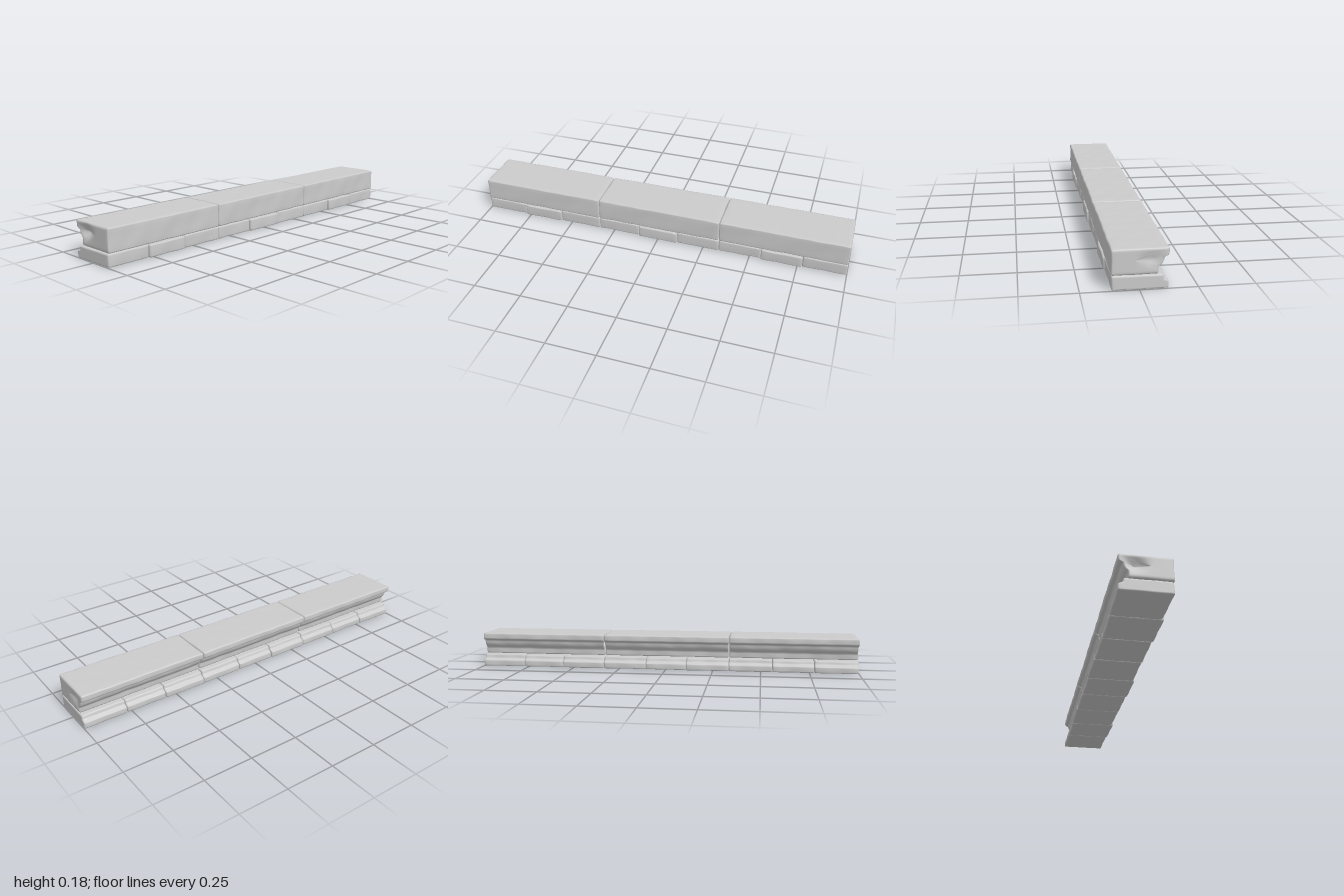
import * as THREE from 'three';

// Rounds the corners of a counter-clockwise outline and splits its long edges
function roundedOutline(corners, radius) {
  const pts = corners.map(([x, y]) => new THREE.Vector2(x, y));
  const n = pts.length;
  const out = [];
  const cuts = pts.map((p, i) => {
    const prev = pts[(i + n - 1) % n], next = pts[(i + 1) % n];
    const a = Math.min(radius, p.distanceTo(prev) * 0.4);
    const b = Math.min(radius, p.distanceTo(next) * 0.4);
    return [
      p.clone().lerp(prev, a / p.distanceTo(prev)),
      p.clone().lerp(next, b / p.distanceTo(next)),
    ];
  });
  for (let i = 0; i < n; i++) {
    const [start, end] = cuts[i];
    const mid = start.clone().add(end).multiplyScalar(0.25).addScaledVector(pts[i], 0.5);
    out.push(start, mid, end);
    const nextStart = cuts[(i + 1) % n][0];
    const steps = Math.ceil(end.distanceTo(nextStart) / 0.025);
    for (let k = 1; k < steps; k++) out.push(end.clone().lerp(nextStart, k / steps));
  }
  return out;
}

// A worn stone: rings of the outline from the front cap to the back cap
function stoneGeometry(corners, centre, zFront, zBack, seed, dent) {
  const outline = roundedOutline(corners, 0.007);
  const n = outline.length;
  const length = zFront - zBack;
  const [cx, cy] = centre;

  // each ring: distance from the front, scale about the centre, edge inset
  const cap = [[0, 0, 0.007], [0, 0.3, 0.007], [0, 0.6, 0.007], [0, 0.85, 0.007],
    [0, 1, 0.007], [0.002, 1, 0.002], [0.007, 1, 0]];
  const rings = [...cap];
  const steps = Math.round(length / 0.022);
  for (let k = 1; k < steps; k++) rings.push([0.007 + (length - 0.014) * k / steps, 1, 0]);
  for (const [d, s, inset] of [...cap].reverse()) rings.push([length - d, s, inset]);

  const positions = [], index = [];
  rings.forEach(([d, scale, inset], i) => {
    for (const p of outline) {
      let x = cx + (p.x - cx) * scale * (1 - inset / 0.12);
      let y = cy + (p.y - cy) * scale * (1 - inset / 0.045);
      let z = zFront - d;
      // gentle wear on the surface
      const wear = Math.sin(z * 31 + seed * 2.3 + y * 40) * Math.sin(z * 17 + x * 25 + seed);
      x += 0.0016 * wear * Math.sign(p.x);
      y -= 0.0012 * Math.abs(wear) * Math.sign(p.y - cy);
      // chipped hollow in the end faces
      const r2 = ((x + 0.045) / 0.035) ** 2 + ((y - 0.135) / 0.025) ** 2;
      const hollow = dent * Math.exp(-r2);
      z -= hollow * Math.exp(-d / 0.04);
      z += 0.4 * hollow * Math.exp(-(length - d) / 0.04);
      positions.push(x, y, z);
    }
    if (i === 0) return;
    for (let j = 0; j < n; j++) {
      const a = (i - 1) * n + j, b = (i - 1) * n + (j + 1) % n;
      const c = a + n, e = b + n;
      index.push(a, c, b, b, c, e);
    }
  });
  const geometry = new THREE.BufferGeometry();
  geometry.setAttribute('position', new THREE.Float32BufferAttribute(positions, 3));
  geometry.setIndex(index);
  geometry.computeVertexNormals();
  return geometry;
}

export function createModel() {
  const model = new THREE.Group();
  model.name = 'stoneCornice';
  const material = new THREE.MeshStandardMaterial({ color: 0xcccccc, roughness: 0.9 });
  const add = (geometry, name) => {
    const mesh = new THREE.Mesh(geometry, material);
    mesh.name = name;
    model.add(mesh);
  };

  // Upper course: three long blocks with a moulded -x side
  const upper = [[-0.08, 0.066], [0.119, 0.066], [0.119, 0.182], [-0.125, 0.182],
    [-0.125, 0.149], [-0.105, 0.143], [-0.102, 0.124], [-0.093, 0.108], [-0.08, 0.098]];
  const upperJoints = [1, 0.334, -0.332, -1];
  for (let i = 0; i < 3; i++) {
    add(stoneGeometry(upper, [0.02, 0.13], upperJoints[i] - 0.001, upperJoints[i + 1] + 0.001,
      i * 0.4, 0.028), `upperBlock${i + 1}`);
  }

  // Lower course: nine short stones, in a repeating set of three
  const offsets = [0, 0.225, 0.44];
  const rightEdge = [0.116, 0.124, 0.118];
  const leftEdge = [-0.126, -0.122, -0.123];
  const topEdge = [0.064, 0.063, 0.066];
  for (let i = 0; i < 9; i++) {
    const k = i % 3;
    const zFront = 1 - Math.floor(i / 3) * 0.6667 - offsets[k];
    const zBack = 1 - Math.floor((i + 1) / 3) * 0.6667 - offsets[(i + 1) % 3];
    const lower = [[leftEdge[k], 0.001], [rightEdge[k], 0.001], [rightEdge[k], topEdge[k]],
      [-0.102, topEdge[k] - 0.002], [-0.105, 0.042], [leftEdge[k], 0.035]];
    add(stoneGeometry(lower, [0, 0.03], zFront - 0.001, Math.max(zBack, -1) + 0.001,
      k * 1.7 + 1, 0), `lowerStone${i + 1}`);
  }
  return model;
}
